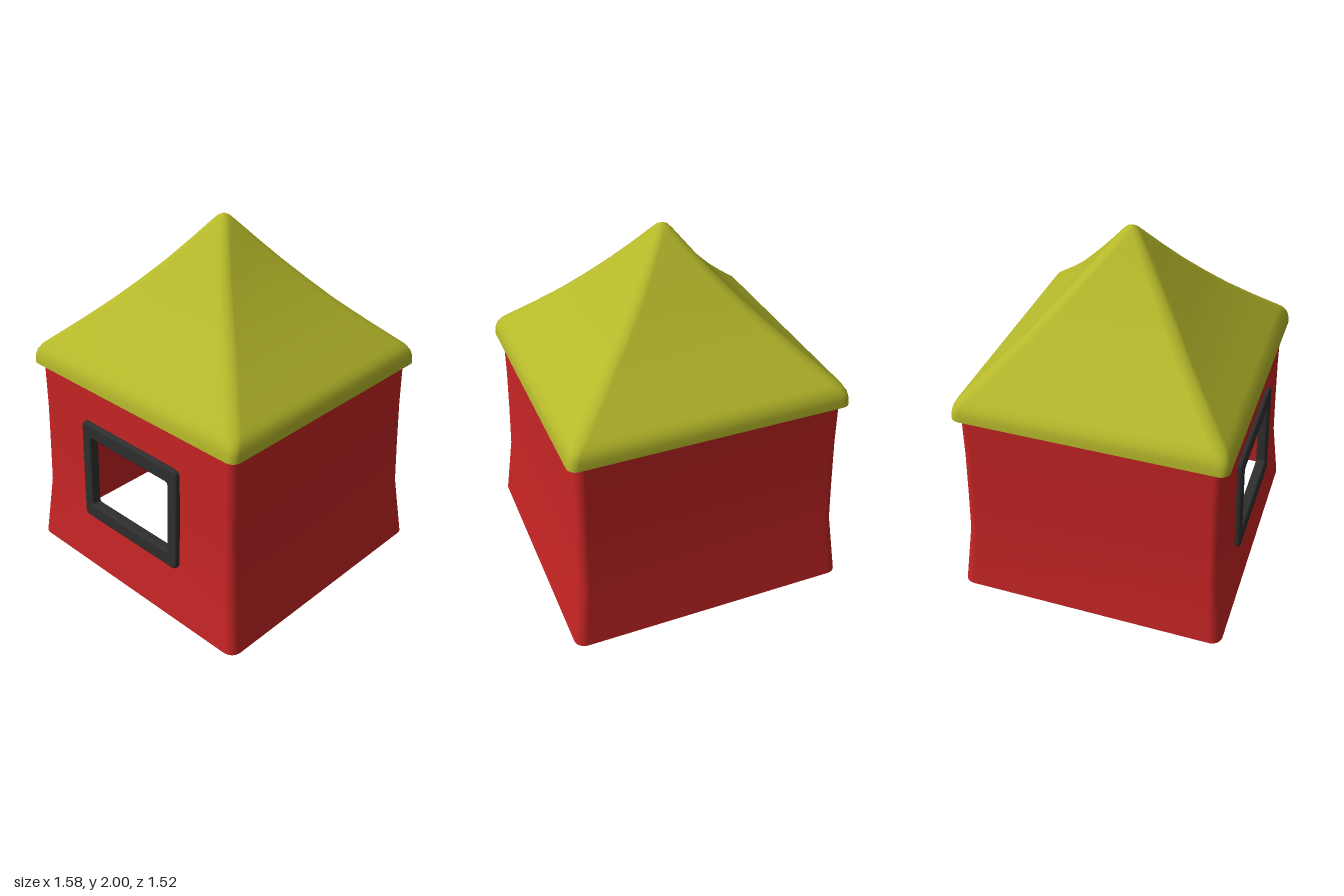
import * as THREE from 'three';

const WINDOW = { x: 0.335, bottom: 0.37, top: 0.885 };

// Rounded rectangle at height y, running from the +z side towards +x, with
// extra points on each z side so a window can be cut between them.
function ring([y, hx, hz, r], cut) {
  const pts = [];
  const steps = 6;
  const corners = [[1, 1], [1, -1], [-1, -1], [-1, 1]];
  corners.forEach(([sx, sz], k) => {
    for (let i = 0; i <= steps; i++) {
      const a = Math.PI / 2 - (k + i / steps) * Math.PI / 2;
      pts.push([sx * (hx - r) + r * Math.cos(a), y, sz * (hz - r) + r * Math.sin(a)]);
    }
  });
  // the last two points close the front side
  pts.push([-cut, y, hz], [cut, y, hz]);
  return pts;
}

// Skin through the rings, leaving out quads for which skip(level, column) holds.
function loft(levels, cut, skip = () => false) {
  const rings = levels.map((l) => ring(l, Math.min(cut, (l[1] - l[3]) * 0.5)));
  const n = rings[0].length;
  const index = [];
  for (let j = 0; j < rings.length - 1; j++) {
    for (let i = 0; i < n; i++) {
      if (skip(j, i, n)) continue;
      const a = j * n + i, b = j * n + (i + 1) % n;
      index.push(a, b + n, b, a, a + n, b + n);
    }
  }
  // the ring runs clockwise seen from above, so turn the faces outward
  for (let t = 0; t < index.length; t += 3) {
    [index[t + 1], index[t + 2]] = [index[t + 2], index[t + 1]];
  }
  for (let t = 0; t < index.length; t += 3) {
    [index[t + 1], index[t + 2]] = [index[t + 2], index[t + 1]];
  }
  const g = new THREE.BufferGeometry();
  g.setAttribute('position', new THREE.Float32BufferAttribute(rings.flat(2), 3));
  g.setIndex(index);
  g.computeVertexNormals();
  return g;
}

function roundedRect(path, hx, y0, y1, r) {
  path.moveTo(-hx + r, y0);
  path.lineTo(hx - r, y0);
  path.quadraticCurveTo(hx, y0, hx, y0 + r);
  path.lineTo(hx, y1 - r);
  path.quadraticCurveTo(hx, y1, hx - r, y1);
  path.lineTo(-hx + r, y1);
  path.quadraticCurveTo(-hx, y1, -hx, y1 - r);
  path.lineTo(-hx, y0 + r);
  path.quadraticCurveTo(-hx, y0, -hx + r, y0);
  return path;
}

export function createModel() {
  const group = new THREE.Group();
  const add = (name, geometry, color) => {
    const material = new THREE.MeshStandardMaterial({ color, side: THREE.DoubleSide });
    const mesh = new THREE.Mesh(geometry, material);
    mesh.name = name;
    group.add(mesh);
    return mesh;
  };
  const red = 0xc62424, olive = 0xb5b82a, black = 0x2e2e2e;

  // Thin flared walls, open below, with the window opening in the front
  const wallLevels = [
    [0, 0.79, 0.758, 0.06],
    [WINDOW.bottom, 0.746, 0.717, 0.055],
    [0.62, 0.737, 0.708, 0.05],
    [WINDOW.top, 0.731, 0.701, 0.05],
    [1.18, 0.73, 0.699, 0.05],
  ];
  add('walls', loft(wallLevels, WINDOW.x,
    (j, i, n) => i === n - 2 && (j === 1 || j === 2)), red);

  // Concave hipped roof with a rounded eave and a blunt tip
  add('roof', loft([
    [1.15, 0.767, 0.733, 0.05],
    [1.19, 0.764, 0.73, 0.05],
    [1.22, 0.756, 0.722, 0.05],
    [1.25, 0.737, 0.705, 0.055],
    [1.275, 0.71, 0.68, 0.06],
    [1.39, 0.582, 0.56, 0.06],
    [1.51, 0.455, 0.44, 0.06],
    [1.63, 0.337, 0.335, 0.06],
    [1.746, 0.23, 0.235, 0.055],
    [1.86, 0.137, 0.14, 0.05],
    [1.965, 0.054, 0.054, 0.04],
    [1.988, 0.032, 0.032, 0.028],
    [1.998, 0.012, 0.012, 0.011],
    [2.0, 0.001, 0.001, 0.0009],
  ], 0.3), olive);

  // Flat underside of the eave, reaching in to the walls
  add('eaveUnderside', loft([
    [1.15, 0.7, 0.67, 0.05],
    [1.15, 0.767, 0.733, 0.05],
  ], 0.3), olive);

  // Bevelled window frame, leaning back with the wall and standing out on both sides
  const bevel = 0.014;
  const midY = 0.625;
  const shape = roundedRect(new THREE.Shape(), 0.37 - bevel, -0.302 + bevel, 0.302 - bevel, 0.02);
  shape.holes.push(roundedRect(new THREE.Path(), 0.3 + bevel, -0.212 - bevel, 0.212 + bevel, 0.03));
  const frameGeometry = new THREE.ExtrudeGeometry(shape, {
    depth: 0.06 - 2 * bevel, bevelEnabled: true, bevelThickness: bevel,
    bevelSize: bevel, bevelSegments: 4, curveSegments: 5,
  });
  frameGeometry.translate(0, 0, -0.03 + bevel);
  const frame = add('windowFrame', frameGeometry, black);
  frame.position.set(0, midY, 0.707);
  frame.rotation.x = -0.035;

  return group;
}
